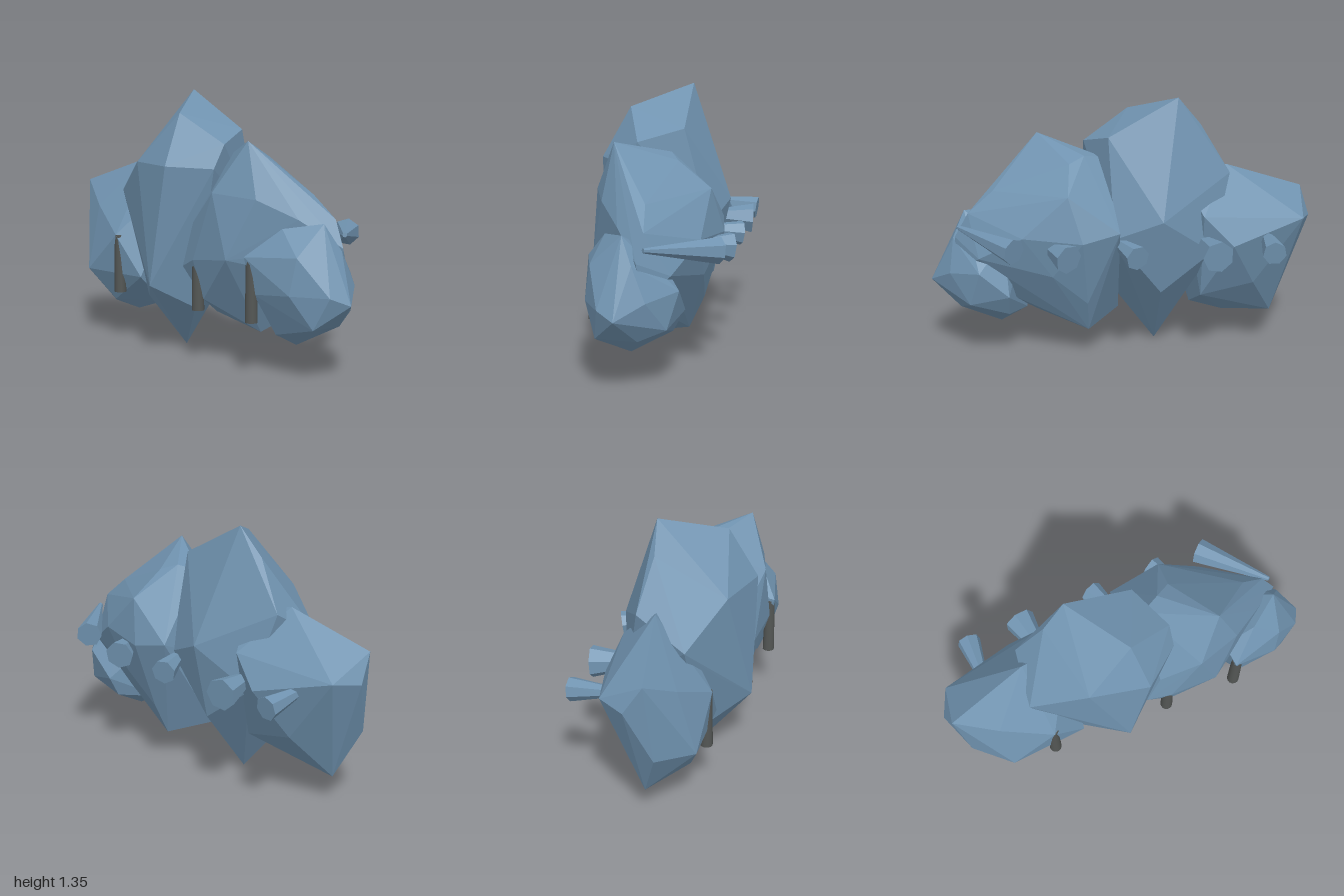
import * as THREE from 'three';
import { ConvexGeometry } from 'three/addons/geometries/ConvexGeometry.js';

// Corner points of each faceted lump
const LUMPS = {
  centreRock: [
    [-0.28, 1.345, -0.05], [-0.18, 1.28, 0.08], [-0.05, 1.24, 0.24], [0.19, 1.09, 0.15],
    [0.08, 1.15, -0.07], [-0.4, 1.2, -0.02], [-0.3, 0.98, 0.32], [0, 0.98, 0.38],
    [0.19, 0.97, 0.22], [-0.11, 0.36, 0.395], [-0.33, 0.55, 0.3], [-0.58, 0.8, 0.2],
    [-0.55, 0.95, -0.06], [-0.18, 0, 0.09], [-0.36, 0.25, 0.2], [0.02, 0.24, 0.2],
    [-0.25, 1.08, -0.14], [-0.18, 0.75, -0.27], [0.06, 0.65, -0.2], [-0.18, 0.35, -0.18],
    [-0.45, 0.55, -0.15], [0.05, 0.55, 0.15],
  ],
  rightRock: [
    [-0.97, 0.82, 0.14], [-1, 0.68, 0.05], [-0.92, 0.39, 0.17], [-0.81, 0.14, 0.08],
    [-0.55, 0.14, 0.12], [-0.37, 0.2, 0.1], [-0.74, 0.36, 0.32], [-0.33, 0.36, 0.28],
    [-0.55, 0.97, 0.04], [-0.94, 0.7, -0.09], [-0.55, 0.6, -0.23], [-0.68, 0.36, -0.1],
    [-0.4, 0.75, -0.19], [-0.76, 0.7, 0.23], [-0.3, 0.93, 0], [-0.5, 0.57, 0.315],
    [-0.6, 0.2, 0.24], [-0.4, 0.3, -0.1],
  ],
  leftRock: [
    [0.43, 1.125, 0.21], [0.2, 1.05, -0.03], [0.28, 1.02, -0.08], [0.1, 1.03, 0.02],
    [0.3, 0.87, 0.33], [0.53, 0.85, 0.25], [0.67, 0.87, 0], [0.8, 0.76, -0.02],
    [0.7, 0.76, 0.13], [0.87, 0.63, 0], [0.86, 0.45, -0.02], [0.75, 0.55, -0.14],
    [0.53, 0.68, -0.24], [0.23, 0.66, -0.305], [0.3, 0.89, -0.25], [0.04, 0.7, -0.27],
    [0.38, 0.47, -0.23], [0.2, 0.31, -0.2], [0.19, 0.14, -0.12], [0.43, 0.17, 0.12],
    [0.02, 0.2, 0.05], [0.18, 0.32, 0.28], [0.4, 0.55, 0.33], [0.03, 0.47, 0.29],
    [0.1, 0.7, 0.28], [0.15, 0.52, 0.325],
  ],
  smallRock: [
    [0.82, 0.75, 0.08], [0.66, 0.72, 0.2], [0.88, 0.62, 0.02], [1, 0.38, 0.08],
    [0.95, 0.42, 0.17], [0.87, 0.26, 0.2], [0.85, 0.25, 0], [0.64, 0.135, 0.08],
    [0.5, 0.2, 0.1], [0.52, 0.58, 0.32], [0.5, 0.61, 0.2], [0.56, 0.4, 0.29],
    [0.62, 0.2, 0.2], [0.8, 0.6, 0.24], [0.78, 0.42, 0.27], [0.8, 0.3, -0.13],
    [0.75, 0.48, -0.18], [0.6, 0.24, -0.12], [0.6, 0.35, -0.18], [0.9, 0.45, -0.05],
    [0.62, 0.62, -0.05],
  ],
};

// Rear spikes: buried narrow end, outer wide end, narrow radius, wide radius
const SPIKES = [
  [[0.85, 0.69, -0.03], [0.575, 0.645, -0.335], 0.012, 0.068],
  [[0.385, 0.62, -0.22], [0.305, 0.6, -0.35], 0.035, 0.075],
  [[0.035, 0.62, -0.18], [-0.04, 0.595, -0.35], 0.03, 0.064],
  [[-0.41, 0.6, -0.15], [-0.45, 0.585, -0.345], 0.04, 0.083],
  [[-0.74, 0.62, -0.1], [-0.74, 0.59, -0.33], 0.025, 0.062],
];

export function createModel() {
  const model = new THREE.Group();
  const blue = new THREE.MeshStandardMaterial({ color: 0x7093b0, flatShading: true });
  blue.name = 'slateBlue';
  const grey = new THREE.MeshStandardMaterial({ color: 0x535654 });
  grey.name = 'darkGrey';

  const add = (name, geometry, material) => {
    const mesh = new THREE.Mesh(geometry, material);
    mesh.name = name;
    model.add(mesh);
    return mesh;
  };

  // Faceted lumps
  for (const [name, points] of Object.entries(LUMPS)) {
    add(name, new ConvexGeometry(points.map((p) => new THREE.Vector3(...p))), blue);
  }

  // Flared spikes on the back
  const up = new THREE.Vector3(0, 1, 0);
  for (const [from, to, narrow, wide] of SPIKES) {
    const a = new THREE.Vector3(...from);
    const b = new THREE.Vector3(...to);
    const axis = b.clone().sub(a);
    const spike = add('rearSpike', new THREE.CylinderGeometry(wide, narrow, axis.length(), 7), blue);
    spike.position.copy(a).add(b).multiplyScalar(0.5);
    spike.quaternion.setFromUnitVectors(up, axis.normalize());
  }

  // Upright pegs half sunk into the front
  for (const x of [-0.5, 0.145, 0.54]) {
    const peg = add('frontPeg', new THREE.CylinderGeometry(0.028, 0.032, 0.31, 12), grey);
    peg.position.set(x, 0.415, 0.287);
  }

  return model;
}
